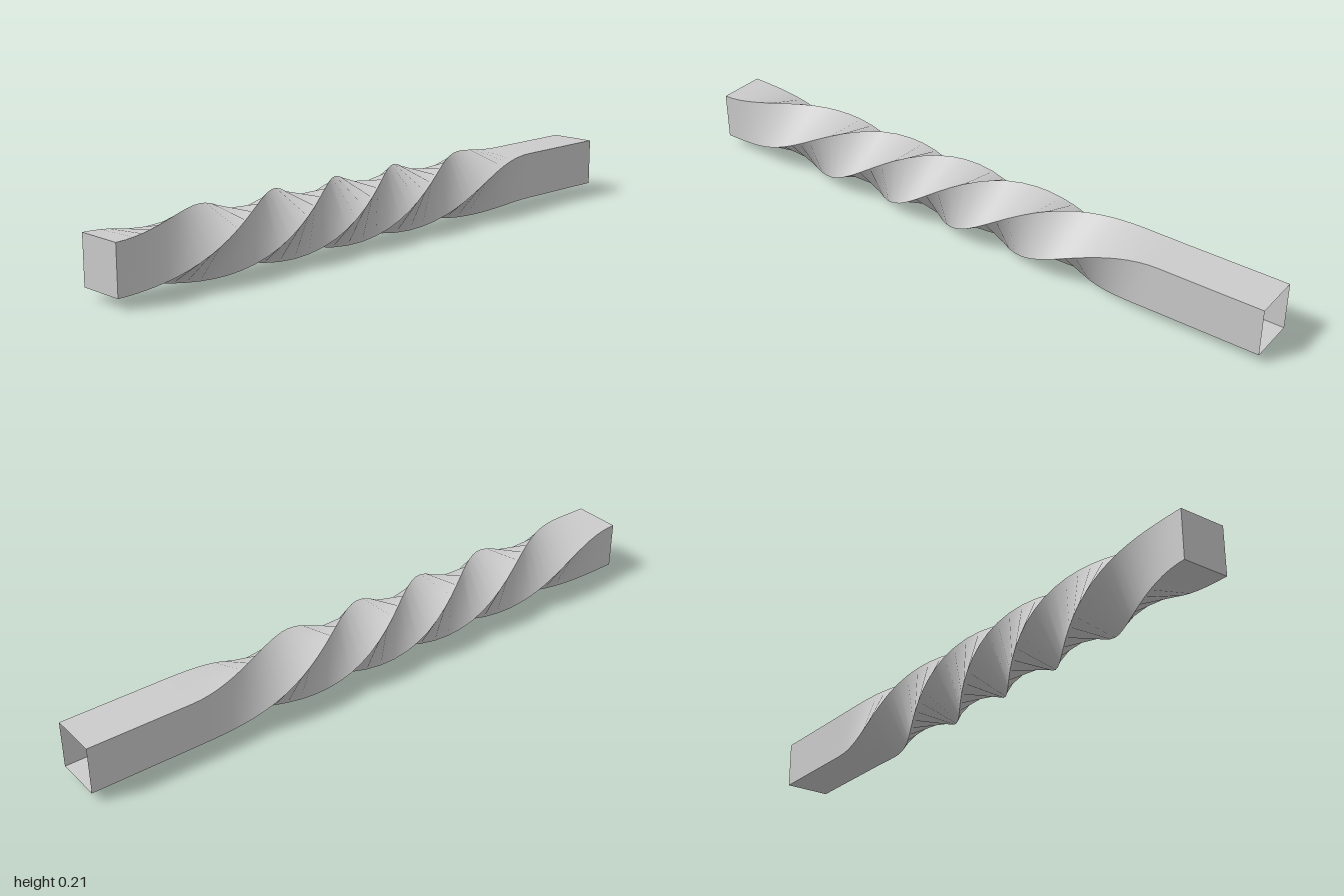
import * as THREE from 'three';

const RADIUS = 0.107;      // centre to corner of the square section
const TWIST = 2.5 * Math.PI; // total twist along the bar
const START = -1, LENGTH = 5 / 3, STEPS = 48;

// Sections along the bar: eased twist, then a straight run to the open end
function makeSections() {
  const sections = [];
  for (let i = 0; i <= STEPS; i++) {
    const u = i / STEPS, v = 1 - u;
    const along = 3 * u * v * v * 0.274 + 3 * u * u * v * 0.726 + u * u * u;
    sections.push({ x: START + LENGTH * along, angle: TWIST * u * u * (3 - 2 * u) });
  }
  sections.push({ x: 1, angle: TWIST });
  return sections;
}

// Corner k of a section; the twist turns from +z towards +y
function corner({ x, angle }, k) {
  const a = angle + (k - 0.5) * Math.PI / 2;
  return [x, RADIUS * Math.sin(a), RADIUS * Math.cos(a)];
}

function makeGeometry(positions, index) {
  const g = new THREE.BufferGeometry();
  g.setAttribute('position', new THREE.Float32BufferAttribute(positions, 3));
  g.setIndex(index);
  g.computeVertexNormals();
  return g;
}

export function createModel() {
  const group = new THREE.Group();
  group.name = 'twistedSquareTube';
  const material = new THREE.MeshStandardMaterial({ color: 0xcccccc, side: THREE.DoubleSide });
  const sections = makeSections();

  const add = (name, geometry) => {
    const mesh = new THREE.Mesh(geometry, material);
    mesh.name = name;
    mesh.position.y = RADIUS;
    group.add(mesh);
  };

  // Four separate strips, smooth lengthwise with sharp edges between them
  for (let k = 0; k < 4; k++) {
    const positions = [], index = [];
    sections.forEach((s, i) => {
      positions.push(...corner(s, k), ...corner(s, k + 1));
      if (i === 0) return;
      const a = 2 * i - 2, b = a + 1, c = a + 2, d = a + 3;
      index.push(a, c, d, a, d, b);
    });
    add(`twistedSide${k + 1}`, makeGeometry(positions, index));
  }

  // Flat cap on the -x end; the +x end stays open
  const capCorners = [0, 1, 2, 3].flatMap((k) => corner(sections[0], k));
  add('endCap', makeGeometry(capCorners, [0, 1, 2, 0, 2, 3]));

  return group;
}
